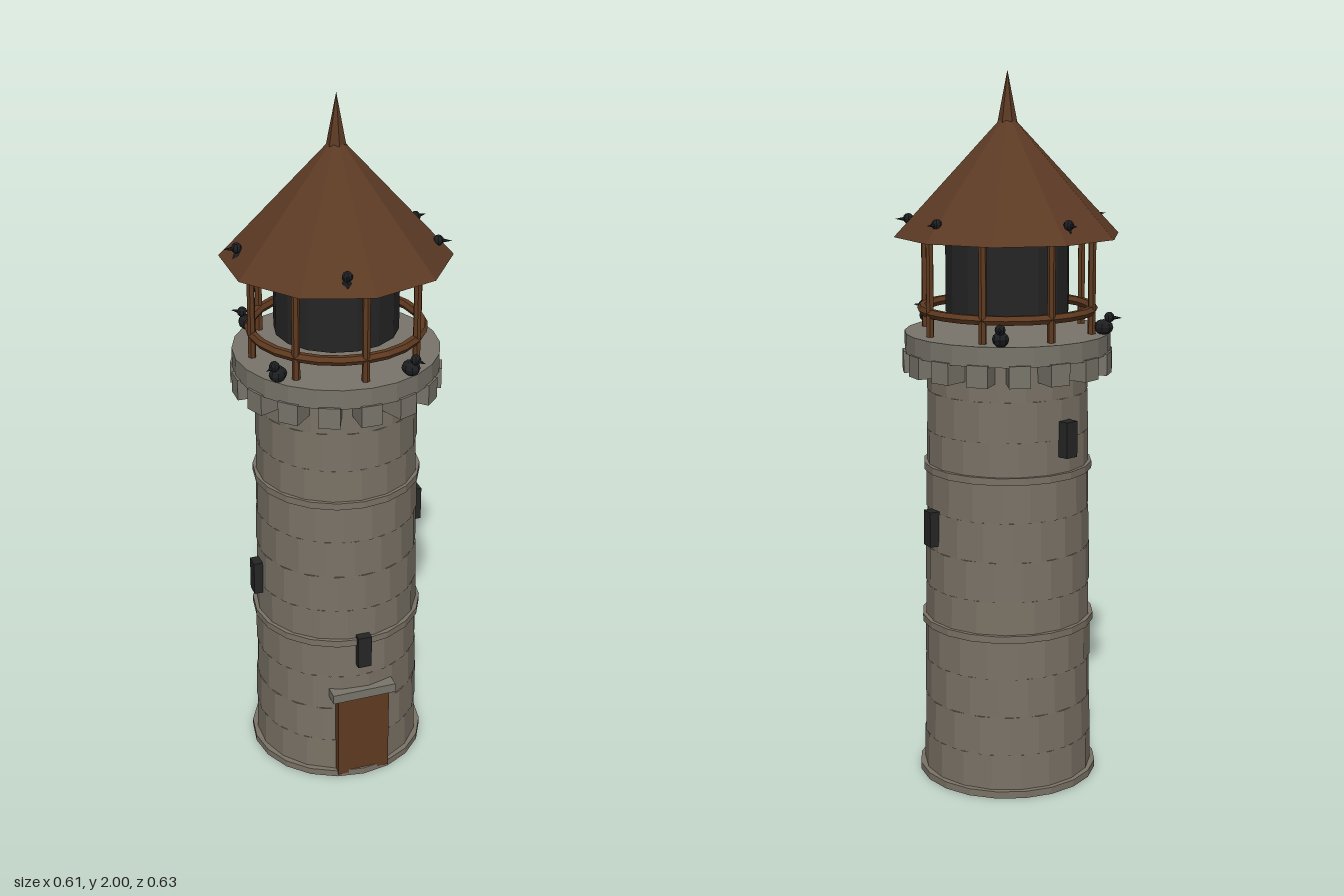
import * as THREE from 'three';

const mat = (name, color, flat = true) => {
  const m = new THREE.MeshStandardMaterial({ color });
  m.name = name;
  m.flatShading = flat;
  return m;
};

export function createModel() {
  const model = new THREE.Group();
  model.name = 'watchtower';
  const stone = mat('stone', 0x7a7266);
  const paleStone = mat('paleStone', 0x79756b);
  const wood = mat('wood', 0x5f3a20);
  const roofBrown = mat('roofBrown', 0x5c3a24);
  const dark = mat('darkGlass', 0x252525);
  const black = mat('birdBlack', 0x1c1e20);

  const add = (name, geo, material, x = 0, y = 0, z = 0, parent = model) => {
    const mesh = new THREE.Mesh(geo, material);
    mesh.name = name;
    mesh.position.set(x, y, z);
    parent.add(mesh);
    return mesh;
  };
  // Places a mesh at a given angle around the tower (0 = front, towards +x)
  const addAround = (name, geo, material, angle, r, y) => {
    const mesh = add(name, geo, material, Math.sin(angle) * r, y, Math.cos(angle) * r);
    mesh.rotation.y = angle;
    return mesh;
  };

  // Shaft: stacked stone courses, each turned a little
  const courses = 11, bottom = 0.01, top = 1.24;
  const h = (top - bottom) / courses;
  const radiusAt = (t) => 0.242 - 0.018 * t;
  for (let i = 0; i < courses; i++) {
    const r0 = radiusAt(i / courses) + (i % 2) * 0.001;
    const r1 = radiusAt((i + 1) / courses) + (i % 2) * 0.001;
    const course = add('stoneCourse', new THREE.CylinderGeometry(r1, r0, h, 18), stone,
      0, bottom + h * (i + 0.5), 0);
    course.rotation.y = (i * 0.618 % 1) * 0.35;
  }

  // Base and string bands
  for (const [y, r] of [[0.01, 0.256], [0.465, 0.246], [0.912, 0.238]]) {
    add('stoneBand', new THREE.CylinderGeometry(r, r, 0.02, 20), stone, 0, y, 0);
  }

  // Gallery slab on corbels
  add('gallery', new THREE.CylinderGeometry(0.287, 0.287, 0.055, 24), paleStone, 0, 1.2625, 0);
  const corbel = new THREE.BoxGeometry(0.058, 0.06, 0.085);
  for (let i = 0; i < 16; i++) {
    addAround('corbel', corbel, paleStone, i * Math.PI / 8, 0.249, 1.21);
  }

  // Door
  add('door', new THREE.BoxGeometry(0.156, 0.265, 0.04), wood, 0, 0.1425, 0.229);
  add('doorLintel', new THREE.BoxGeometry(0.19, 0.028, 0.05), paleStone, 0, 0.289, 0.23);

  // Slit windows winding up the shaft
  const slit = new THREE.BoxGeometry(0.04, 0.1, 0.04);
  for (const [angle, y] of [[0, 0.435], [-Math.PI / 2, 0.593], [Math.PI / 2, 0.75], [Math.PI + 0.25, 1.018]]) {
    addAround('slitWindow', slit, dark, angle, 0.236, y);
  }

  // Lantern room, rail and posts
  add('lanternRoom', new THREE.CylinderGeometry(0.172, 0.172, 0.205, 16), dark, 0, 1.4475, 0);
  const rail = add('rail', new THREE.TorusGeometry(0.237, 0.014, 6, 24), wood, 0, 1.353, 0);
  rail.rotation.x = Math.PI / 2;
  const post = new THREE.CylinderGeometry(0.011, 0.011, 0.28, 6);
  for (let i = 0; i < 8; i++) {
    addAround('post', post, wood, i * Math.PI / 4, 0.24, 1.425);
  }

  // Roof and spire
  add('roof', new THREE.ConeGeometry(0.315, 0.335, 10), roofBrown, 0, 1.7225, 0);
  add('spire', new THREE.ConeGeometry(0.028, 0.145, 6), roofBrown, 0, 1.9275, 0);

  // Birds, facing outwards
  const bodyGeo = new THREE.SphereGeometry(0.024, 8, 6);
  const headGeo = new THREE.SphereGeometry(0.0145, 8, 6);
  const beakGeo = new THREE.ConeGeometry(0.007, 0.03, 5).rotateX(Math.PI / 2);
  const addBird = (angle, r, y) => {
    const bird = new THREE.Group();
    bird.name = 'bird';
    bird.position.set(Math.sin(angle) * r, y, Math.cos(angle) * r);
    bird.rotation.y = angle;
    add('birdBody', bodyGeo, black, 0, 0.021, 0, bird).scale.set(0.95, 0.9, 1.15);
    add('birdHead', headGeo, black, 0, 0.049, 0.016, bird);
    add('birdBeak', beakGeo, black, 0, 0.048, 0.037, bird);
    model.add(bird);
  };
  // Roof birds
  for (const [x, z] of [[-0.034, -0.27], [0.26, -0.083], [0.248, 0.103], [-0.06, 0.26], [-0.27, -0.015]]) {
    addBird(Math.atan2(x, z), 0.256, 1.554);
  }
  // Gallery birds
  for (const [x, z] of [[-0.24, -0.225], [0.178, -0.275], [-0.26, 0.195], [0.15, 0.285]]) {
    addBird(Math.atan2(x, z), 0.272, 1.288);
  }
  return model;
}
